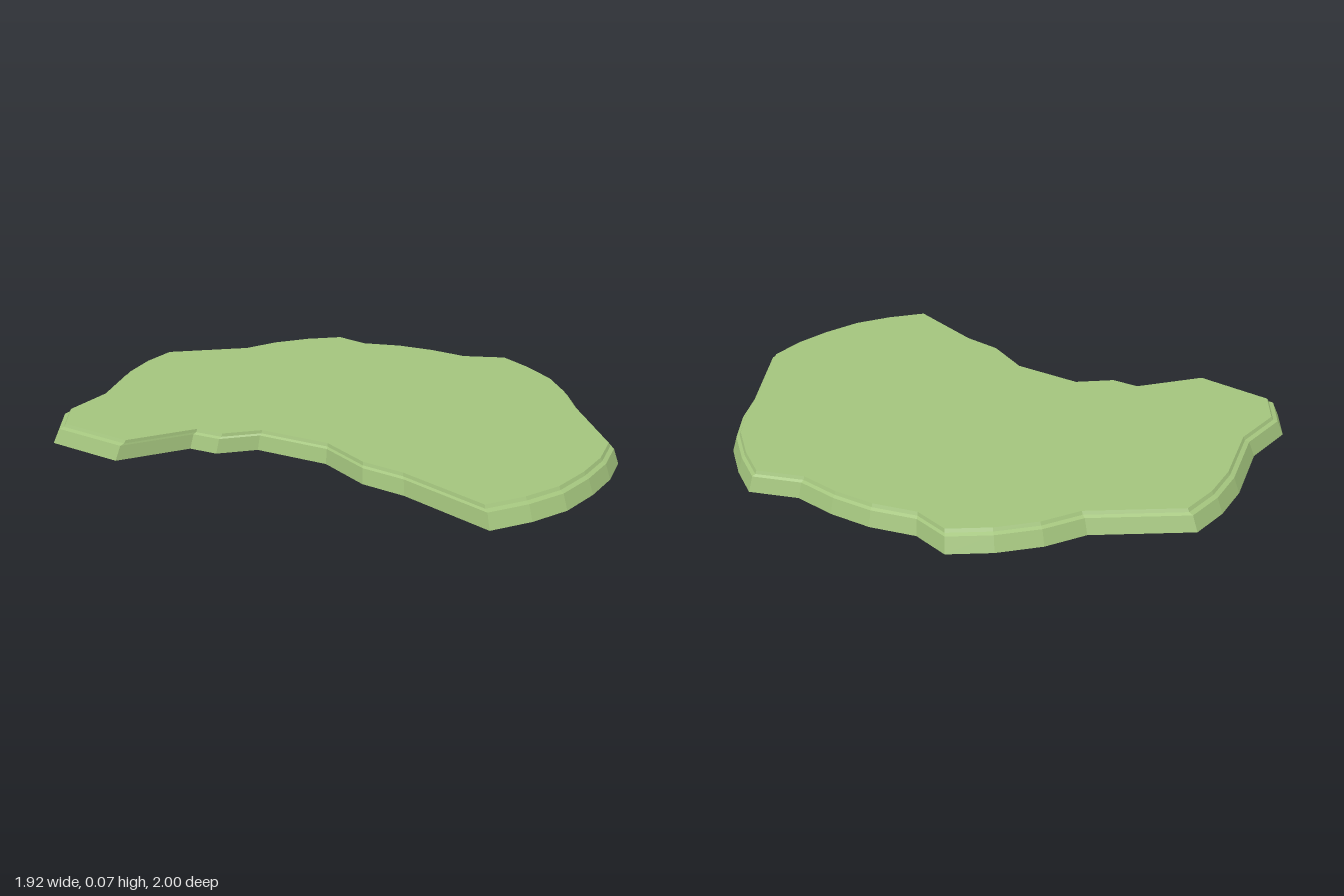
import * as THREE from 'three';

// Ground outline as [x, z], running clockwise seen from above
const OUTLINE = [
  [-0.96, -0.155], [-0.92, -0.32], [-0.765, -0.475], [-0.63, -0.735],
  [-0.535, -0.865], [-0.425, -0.97], [-0.095, -0.935], [0.045, -0.985],
  [0.195, -1], [0.34, -0.985], [0.41, -0.86], [0.545, -0.78],
  [0.655, -0.675], [0.75, -0.55], [0.905, -0.48], [0.94, -0.33],
  [0.96, -0.155], [0.94, 0.015], [0.9, 0.175], [0.83, 0.6],
  [0.735, 0.725], [0.62, 0.83], [0.485, 0.925], [0.345, 0.975],
  [0.195, 1], [0.045, 0.665], [-0.05, 0.53], [-0.11, 0.32],
  [-0.295, 0.12], [-0.44, 0.115], [-0.515, 0.04], [-0.78, 0.085],
];

// Edge profile as [height, scale]: sloped wall, shallow ledge, small step
const PROFILE = [[0, 1], [0.05, 0.981], [0.056, 0.967], [0.067, 0.961]];

// The rings shrink towards this point
const PIVOT = { x: 0.2, z: -0.15 };

function buildSlab() {
  const loop = OUTLINE.slice().reverse(); // counter-clockwise from above
  const n = loop.length;
  const positions = [];
  const index = [];

  for (const [y, s] of PROFILE) {
    for (const [x, z] of loop) {
      positions.push(PIVOT.x + (x - PIVOT.x) * s, y, PIVOT.z + (z - PIVOT.z) * s);
    }
  }

  // Bevelled edge bands
  for (let r = 0; r < PROFILE.length - 1; r++) {
    for (let i = 0; i < n; i++) {
      const j = (i + 1) % n;
      const a = r * n + i, b = r * n + j, c = b + n, d = a + n;
      index.push(a, b, c, a, c, d);
    }
  }

  // Flat underside and top
  const top = (PROFILE.length - 1) * n;
  const contour = loop.map(([x, z]) => new THREE.Vector2(x, -z));
  for (const [a, b, c] of THREE.ShapeUtils.triangulateShape(contour, [])) {
    index.push(a, c, b, top + a, top + b, top + c);
  }

  const indexed = new THREE.BufferGeometry();
  indexed.setAttribute('position', new THREE.Float32BufferAttribute(positions, 3));
  indexed.setIndex(index);
  const geometry = indexed.toNonIndexed();
  geometry.computeVertexNormals();
  return geometry;
}

export function createModel() {
  const group = new THREE.Group();
  group.name = 'grassPatch';
  const material = new THREE.MeshStandardMaterial({ color: 0xa3c47d, flatShading: true });
  const slab = new THREE.Mesh(buildSlab(), material);
  slab.name = 'grassSlab';
  group.add(slab);
  return group;
}
